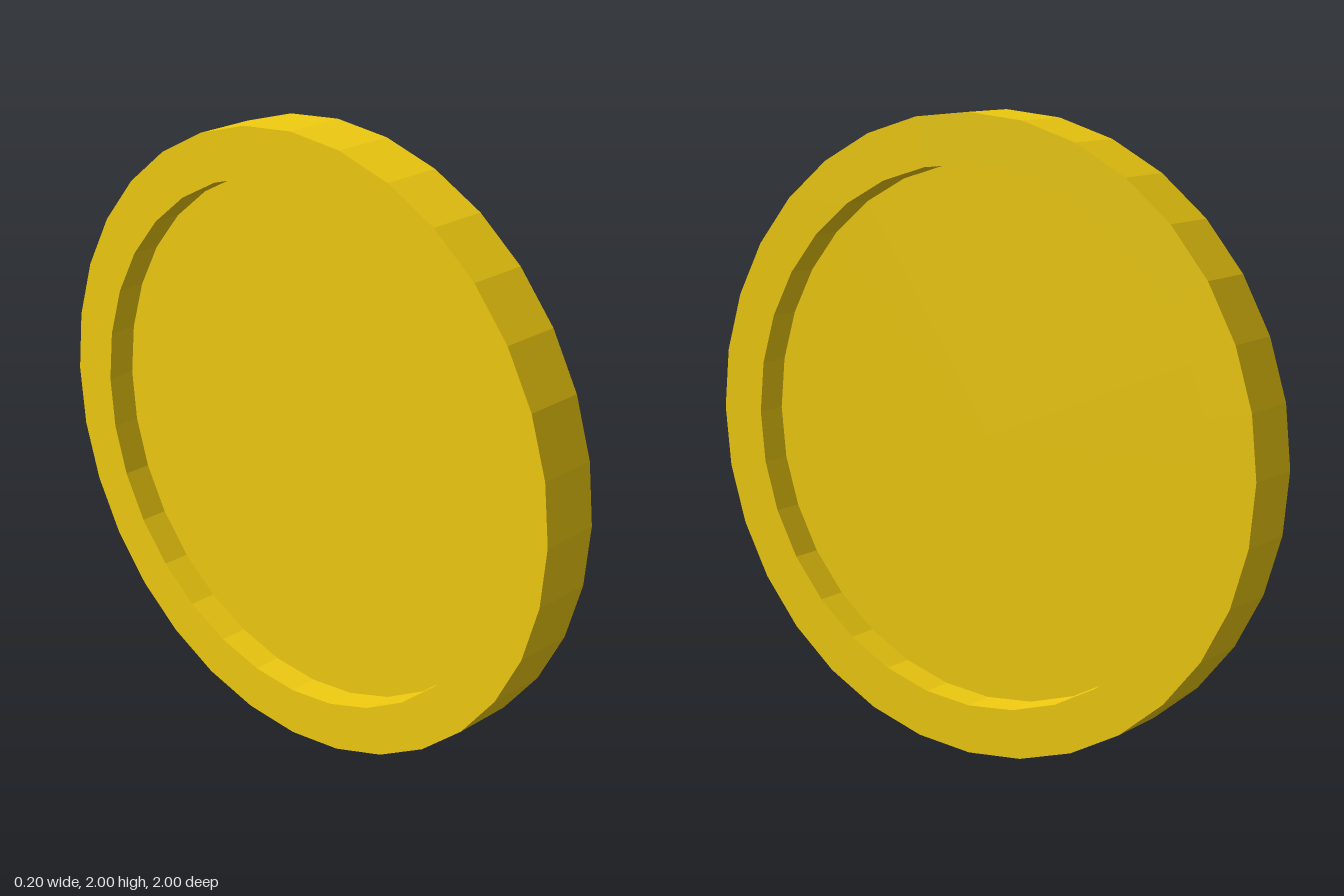
import * as THREE from 'three';

const SIDES = 32;
const OUTER = 1, INNER = 0.845, HALF = 0.1;

export function createModel() {
  const group = new THREE.Group();
  group.name = 'coin';

  const gold = new THREE.MeshStandardMaterial({
    color: 0xf0cb10, flatShading: true, side: THREE.DoubleSide,
  });

  // Raised rim: a closed rectangular section turned around the x axis
  const section = [
    [OUTER, -HALF], [OUTER, HALF], [INNER, HALF], [INNER, -HALF], [OUTER, -HALF],
  ].map(([r, h]) => new THREE.Vector2(r, h));
  const rim = new THREE.Mesh(new THREE.LatheGeometry(section, SIDES), gold);
  rim.name = 'rim';
  rim.rotation.z = -Math.PI / 2;
  rim.position.y = OUTER;
  group.add(rim);

  // Thin face sunk between the two rim edges, seen from both sides
  const face = new THREE.Mesh(new THREE.CircleGeometry(INNER, SIDES), gold);
  face.name = 'recessedFace';
  face.rotation.y = Math.PI / 2;
  face.position.set(-0.004, OUTER, 0);
  group.add(face);

  return group;
}
